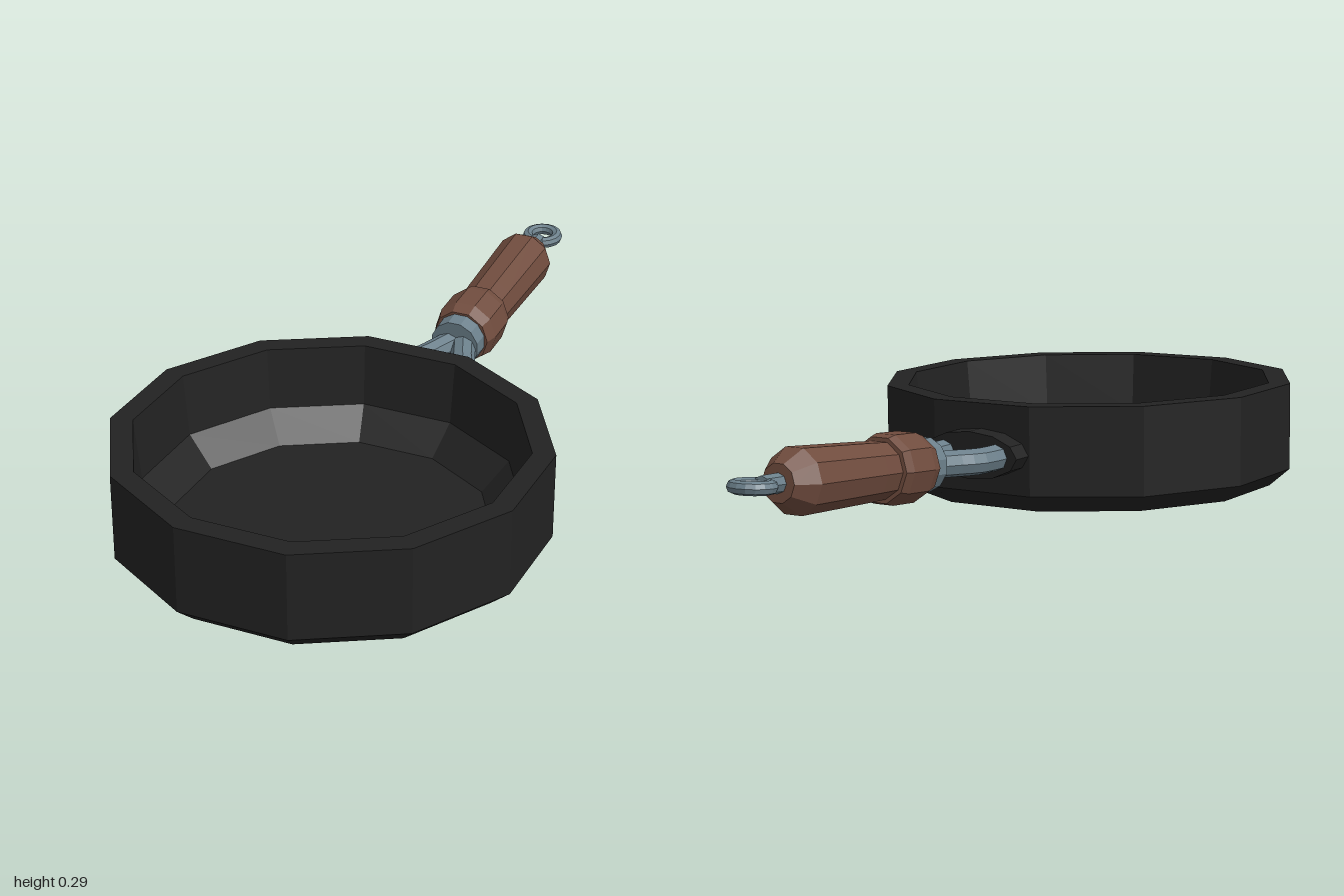
import * as THREE from 'three';

const material = (color) => new THREE.MeshStandardMaterial({ color, flatShading: true });

export function createModel() {
  const iron = material(0x222222);
  const wood = material(0x704c3e);
  const steel = material(0x6c808b);

  const add = (parent, name, geometry, mat) => {
    const mesh = new THREE.Mesh(geometry, mat);
    mesh.name = name;
    parent.add(mesh);
    return mesh;
  };
  // Faceted lathe from [radius, height] pairs, with a flat side facing the axes
  const turned = (points, sides) => new THREE.LatheGeometry(
    points.map(([r, y]) => new THREE.Vector2(r, y)), sides, Math.PI / sides);

  const model = new THREE.Group();
  model.name = 'fryingPan';

  // The whole pan is turned about y and leans slightly to one side
  const pan = new THREE.Group();
  pan.name = 'pan';
  pan.rotation.set(0, 0.28, -0.022, 'ZYX');
  pan.position.set(-0.003, 0.012, 0.449);
  model.add(pan);

  // Bowl: chamfered base, wall, rim and hollow inside
  add(pan, 'bowl', turned([
    [0, 0], [0.492, 0], [0.545, 0.046], [0.545, 0.272],
    [0.488, 0.272], [0.472, 0.11], [0.4, 0.035], [0, 0.035],
  ], 12), iron);

  // Oval mounting pad on the back wall
  const pad = add(pan, 'mountingPad', new THREE.CylinderGeometry(1, 1, 0.1, 12), iron);
  pad.scale.set(0.138, 1, 0.06);
  pad.rotation.x = -Math.PI / 2;
  pad.position.set(0, 0.148, -0.532);

  // Two bent prongs meeting at the collar
  for (const side of [-1, 1]) {
    const path = new THREE.CurvePath();
    const p = [[0.078, 0.148, -0.55], [0.076, 0.149, -0.64], [0.07, 0.15, -0.675],
      [0.05, 0.152, -0.71], [0.012, 0.157, -0.81]]
      .map(([x, y, z]) => new THREE.Vector3(x * side, y, z));
    path.add(new THREE.LineCurve3(p[0], p[1]));
    path.add(new THREE.QuadraticBezierCurve3(p[1], p[2], p[3]));
    path.add(new THREE.LineCurve3(p[3], p[4]));
    add(pan, side < 0 ? 'rightProng' : 'leftProng',
      new THREE.TubeGeometry(path, 8, 0.033, 8), steel);
  }

  // Handle: y runs along its length, rising gently away from the bowl
  const handle = new THREE.Group();
  handle.name = 'handle';
  handle.position.set(-0.004, 0.157, -0.785);
  handle.rotation.x = -Math.PI / 2 + 0.08;
  pan.add(handle);

  add(handle, 'collar', turned([[0, 0], [0.068, 0], [0.07, 0.05], [0, 0.05]], 12), steel);
  add(handle, 'ferrule', turned([
    [0, 0.045], [0.077, 0.045], [0.088, 0.08], [0.088, 0.165], [0.081, 0.19], [0, 0.19],
  ], 10), wood);
  add(handle, 'grip', turned([
    [0, 0.17], [0.07, 0.17], [0.073, 0.25], [0.08, 0.515], [0.046, 0.572], [0, 0.572],
  ], 10), wood);

  // Hanging pin and ring at the end
  const pin = add(handle, 'hangingPin', new THREE.CylinderGeometry(0.022, 0.024, 0.07, 8), steel);
  pin.position.y = 0.597;
  const ring = add(handle, 'hangingRing', new THREE.TorusGeometry(0.042, 0.016, 8, 16), steel);
  ring.position.y = 0.662;

  return model;
}
